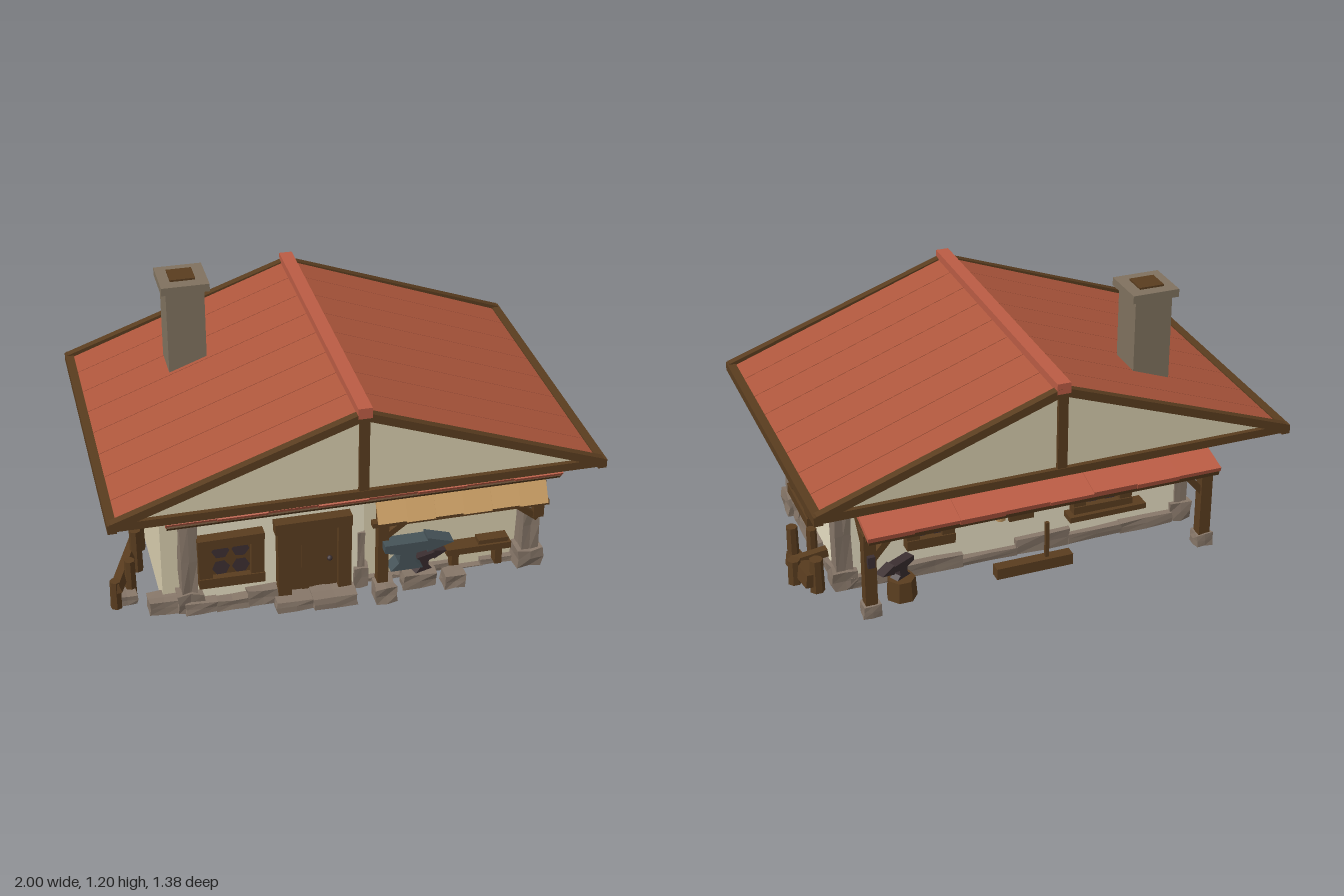
import * as THREE from 'three';

const mat = (name, color) => {
  const m = new THREE.MeshStandardMaterial({ color });
  m.name = name;
  return m;
};

export function createModel() {
  const root = new THREE.Group();
  root.name = 'smithyCottage';
  const M = {
    tile: mat('roofRed', 0xad563c), eave: mat('eaveRed', 0xbb5c44),
    wood: mat('timber', 0x5a3d1f), cream: mat('oldPlaster', 0xd8cdae),
    plaster: mat('freshPlaster', 0xfff6d8), stone: mat('fieldstone', 0x877769),
    chimney: mat('chimneyStone', 0x80725f), straw: mat('straw', 0xc99d63),
    iron: mat('iron', 0x465358), dark: mat('darkIron', 0x3c2f31),
  };

  // ---- helpers
  const add = (name, geo, m, parent = root) => {
    const mesh = new THREE.Mesh(geo, m);
    mesh.name = name;
    parent.add(mesh);
    return mesh;
  };
  // Box given by its extents
  const span = (name, m, x0, x1, y0, y1, z0, z1, parent = root) => {
    const b = add(name, new THREE.BoxGeometry(x1 - x0, y1 - y0, z1 - z0), m, parent);
    b.position.set((x0 + x1) / 2, (y0 + y1) / 2, (z0 + z1) / 2);
    return b;
  };
  // Square bar between two points
  const beam = (name, m, a, b, w, d = w, parent = root) => {
    const p = new THREE.Vector3(...a), q = new THREE.Vector3(...b);
    const mesh = add(name, new THREE.BoxGeometry(w, p.distanceTo(q), d), m, parent);
    mesh.position.copy(p).add(q).multiplyScalar(0.5);
    mesh.quaternion.setFromUnitVectors(new THREE.Vector3(0, 1, 0), q.sub(p).normalize());
    return mesh;
  };
  // Faceted upright log
  const log = (name, x, y0, z, h, r) => {
    const g = new THREE.CylinderGeometry(r * 0.9, r, h, 7).toNonIndexed();
    g.computeVertexNormals();
    add(name, g, M.wood).position.set(x, y0 + h / 2, z);
  };
  // Rough stone: box whose corners are pulled in by a hash
  let seed = 1;
  const stone = (x0, x1, y0, y1, z0, z1) => {
    const s = seed++, w = x1 - x0, h = y1 - y0, d = z1 - z0;
    const g = new THREE.BoxGeometry(w, h, d, 2, 2, 2).toNonIndexed(), p = g.attributes.position;
    const k = Math.min(w, h, d) * 0.13;
    const hash = (a) => { const v = Math.sin(a * 127.1 + s * 31.7) * 4375.5; return v - Math.floor(v); };
    for (let i = 0; i < p.count; i++) {
      const v = [p.getX(i), p.getY(i), p.getZ(i)];
      const id = Math.round(v[0] / w * 2) * 9 + Math.round(v[1] / h * 2) * 3 + Math.round(v[2] / d * 2);
      p.setXYZ(i, ...v.map((c, j) => c - Math.sign(c) * k * hash(id + j * 40)));
    }
    g.computeVertexNormals();
    add('stone', g, M.stone).position.set((x0 + x1) / 2, (y0 + y1) / 2, (z0 + z1) / 2);
  };

  // ---- main roof: eight planks per side, ridge and timber edges
  const slope = 0.37, roofY = (x) => 1.02 - slope * Math.abs(x);
  for (const s of [-1, 1]) {
    for (let i = 0; i < 8; i++) {
      const plank = add('roofPlank', new THREE.BoxGeometry(1.035, 0.02, 0.167), M.tile);
      plank.position.set(s * 0.485, roofY(0.485) - 0.01, -0.595 + i * 0.17);
      plank.rotation.z = -s * Math.atan(slope);
    }
    span('eaveBeam', M.wood, s * 0.98 - 0.018, s * 0.98 + 0.018, 0.632, 0.67, -0.69, 0.69);
  }
  span('ridgeCap', M.eave, -0.028, 0.028, 1.0, 1.045, -0.69, 0.69);

  // ---- big gables at both ends
  for (const s of [-1, 1]) {
    const tri = new THREE.Shape([[-0.96, 0.65], [0.96, 0.65], [0, 1.005]].map((p) => new THREE.Vector2(...p)));
    add('gablePanel', new THREE.ExtrudeGeometry(tri, { depth: 0.01, bevelEnabled: false }), M.cream)
      .position.z = s * 0.665 - 0.005;
    span('gableTie', M.wood, -0.99, 0.99, 0.64, 0.674, s * 0.675 - 0.015, s * 0.675 + 0.015);
    span('gablePost', M.wood, -0.02, 0.02, 0.66, 1.0, s * 0.675 - 0.012, s * 0.675 + 0.012);
    for (const k of [-1, 1])
      beam('gableRafter', M.wood, [k * 0.985, 0.656, s * 0.673], [0, 1.008, s * 0.673], 0.034);
  }

  // ---- chimney
  span('chimneyStack', M.chimney, -0.61, -0.45, 0.72, 1.17, -0.35, -0.19);
  span('chimneyCap', M.chimney, -0.63, -0.43, 1.163, 1.197, -0.37, -0.17);
  span('chimneyFlue', M.wood, -0.585, -0.48, 1.197, 1.205, -0.322, -0.222);

  // ---- house body and plaster coats
  span('houseBody', M.cream, -0.765, 0.78, 0.03, 0.66, -0.24, 0.39);
  span('frontRoom', M.plaster, -0.68, 0.07, 0.04, 0.5, 0.36, 0.43);
  span('sidePlaster', M.plaster, 0.77, 0.788, 0.05, 0.64, -0.23, 0.385);
  span('backPlaster', M.plaster, -0.74, 0.77, 0.05, 0.5, -0.25, -0.23);

  // ---- lower roof skirts: uneven tiles on a timber deck
  const skirt = (name, za, ya, zb, yb, x0, x1, t) => {
    const n = 8, w = (x1 - x0) / n, len = Math.hypot(zb - za, yb - ya), tilt = -Math.atan2(yb - ya, zb - za);
    for (let i = 0; i < n; i++) {
      const m = add(name, new THREE.BoxGeometry(w, t + (i % 3) * 0.004, len + (i % 2) * 0.008), M.eave);
      m.position.set(x0 + w * (i + 0.5), (ya + yb) / 2, (za + zb) / 2);
      m.rotation.x = tilt;
    }
    const deck = add('skirtDeck', new THREE.BoxGeometry(x1 - x0 - 0.01, 0.02, len - 0.01), M.wood);
    deck.position.set((x0 + x1) / 2, (ya + yb) / 2 - 0.02, (za + zb) / 2);
    deck.rotation.x = tilt;
  };
  skirt('frontSkirt', 0.4, 0.645, 0.55, 0.535, -0.76, 0.87, 0.025);
  skirt('backSkirt', -0.32, 0.535, -0.17, 0.645, -0.76, 0.87, 0.025);
  skirt('porchRoof', -0.555, 0.437, -0.26, 0.512, -0.77, 0.755, 0.018);
  span('frontEaveBeam', M.wood, -0.74, 0.86, 0.475, 0.535, 0.42, 0.49);
  span('backEaveBeam', M.wood, -0.74, 0.86, 0.47, 0.525, -0.29, -0.24);
  span('sideBeam', M.wood, 0.78, 0.835, 0.515, 0.565, -0.3, 0.47);
  span('sideLintel', M.wood, 0.78, 0.81, 0.475, 0.505, -0.27, 0.41);
  for (const [z0, z1] of [[0.53, 0.39], [-0.3, -0.17]])
    beam('sideRafter', M.wood, [0.85, 0.52, z0], [0.85, 0.625, z1], 0.042);
  span('loftWindow', M.wood, 0.78, 0.82, 0.575, 0.64, 0.05, 0.175);
  span('loftPane', M.dark, 0.82, 0.825, 0.595, 0.625, 0.08, 0.145);

  // ---- windows: heavy frame with four dark panes
  const makeWindow = (x, y, z, ry, w, h) => {
    const g = new THREE.Group();
    g.name = 'window';
    span('windowBoard', M.wood, -w / 2 + 0.01, w / 2 - 0.01, -h / 2 + 0.01, h / 2 - 0.01, -0.01, 0.015, g);
    for (const s of [-1, 1]) {
      beam('windowJamb', M.wood, [s * (w / 2 - 0.025), -h / 2, 0.015], [s * (w / 2 - 0.02), h / 2, 0.015], 0.055, 0.05, g);
      beam('windowRail', M.wood, [-w / 2 - 0.005, s * (h / 2 - 0.022), 0.018], [w / 2 + 0.005, s * (h / 2 - 0.018), 0.018], 0.044, 0.055, g);
      for (const t of [-1, 1]) {
        const pane = add('windowPane', new THREE.CircleGeometry(0.037, 6), M.dark, g);
        pane.position.set(s * 0.041, t * 0.04, 0.017);
        pane.rotation.z = s + t;
      }
    }
    g.position.set(x, y, z);
    g.rotation.y = ry;
    root.add(g);
  };
  makeWindow(-0.49, 0.275, 0.435, 0, 0.26, 0.23);
  makeWindow(0.795, 0.285, 0.205, Math.PI / 2, 0.3, 0.24);
  makeWindow(-0.36, 0.29, -0.255, Math.PI, 0.26, 0.22);
  makeWindow(0.41, 0.29, -0.255, Math.PI, 0.2, 0.22);

  // ---- front door
  for (let i = 0; i < 4; i++)
    span('doorPlank', M.wood, -0.245 + i * 0.05, -0.195 + i * 0.05, 0.06, 0.385, 0.42, 0.445 + (i % 2) * 0.003);
  for (const x of [-0.272, -0.02]) beam('doorJamb', M.wood, [x, 0.05, 0.45], [x, 0.41, 0.45], 0.055);
  span('doorLintel', M.wood, -0.31, 0.01, 0.37, 0.42, 0.42, 0.48);
  add('doorKnob', new THREE.SphereGeometry(0.012, 8, 6), M.dark).position.set(-0.08, 0.21, 0.458);

  // ---- stonework: corners, footings, step
  const column = (x0, x1, z0, z1, top) => {
    stone(x0 - 0.02, x1 + 0.02, 0.03, 0.13, z0 - 0.015, z1 + 0.015);
    stone(x0, x1, 0.1, top, z0, z1);
  };
  column(-0.7, -0.62, 0.36, 0.455, 0.46);
  column(0.74, 0.825, 0.375, 0.475, 0.38);
  column(0.735, 0.81, -0.265, -0.185, 0.48);
  column(-0.775, -0.71, -0.265, -0.2, 0.48);
  column(0.04, 0.075, 0.38, 0.44, 0.3);
  const row = (n, a, b, put) => {
    for (let i = 0; i < n; i++) put(a + (b - a) * i / n - 0.006, a + (b - a) * (i + 1) / n + 0.006, 0.1 + (i % 3) * 0.01 - (i % 2) * 0.015);
  };
  row(3, -0.68, -0.3, (a, b, t) => stone(a, b, 0.03, t - 0.01, 0.39, 0.48));
  row(3, 0, 0.4, (a, b, t) => stone(0.74, 0.825, 0.03, t + 0.01, a, b));
  stone(0.74, 0.81, 0.03, 0.08, -0.2, 0);
  row(6, -0.7, 0.75, (a, b, t) => stone(a, b, 0.03, t - 0.01, -0.28, -0.22));
  row(5, 0.08, 0.72, (a, b, t) => stone(a, b, 0.03, t - 0.05, 0.37, 0.42));
  stone(-0.32, -0.15, 0.015, 0.07, 0.42, 0.53);
  stone(-0.17, 0.02, 0.02, 0.075, 0.42, 0.55);
  stone(0.09, 0.19, 0, 0.085, 0.46, 0.555);
  stone(0.22, 0.37, 0.02, 0.1, 0.43, 0.51);
  stone(0.39, 0.49, 0.02, 0.09, 0.46, 0.54);
  stone(-0.83, -0.7, 0.03, 0.1, 0.36, 0.45);

  // ---- front awning with posts and braces
  for (let i = 0; i < 6; i++) {
    const x = 0.16 + i * 0.12;
    beam('awningStraw', M.straw, [x, 0.502, 0.485], [x, 0.402 - (i % 2) * 0.006, 0.545], 0.12, 0.014);
  }
  span('awningBeam', M.wood, 0.08, 0.83, 0.38, 0.402, 0.5, 0.535);
  for (const [x, s, y] of [[0.135, 1, 0.08], [0.8, -1, 0.3]]) {
    beam('awningPost', M.wood, [x, y, 0.48], [x, 0.48, 0.48], 0.045);
    beam('awningBrace', M.wood, [x, 0.29, 0.48], [x + s * 0.12, 0.39, 0.49], 0.026);
  }

  // ---- anvils: side profile pushed out to thickness
  const anvil = (name, m, x, y, z, k, ry) => {
    const pts = [[-0.08, 0], [0.08, 0], [0.04, 0.04], [0.045, 0.09], [0.1, 0.1], [0.1, 0.085], [0.23, 0.125],
      [0.1, 0.165], [0.1, 0.15], [-0.11, 0.15], [-0.11, 0.11], [-0.035, 0.09], [-0.04, 0.04]];
    const g = new THREE.ExtrudeGeometry(new THREE.Shape(pts.map((p) => new THREE.Vector2(...p))), { depth: 0.08, bevelEnabled: false });
    g.translate(0, 0, -0.04);
    const mesh = add(name, g, m);
    mesh.position.set(x, y, z);
    mesh.rotation.y = ry;
    mesh.scale.setScalar(k);
  };
  anvil('hangingAnvil', M.iron, 0.225, 0.16, 0.51, 0.86, 0);
  anvil('smallAnvil', M.dark, 0.31, 0.1, 0.47, 0.5, 0.3);
  anvil('yardAnvil', M.dark, 0.57, 0.115, -0.37, 0.54, 0.5);
  log('anvilStump', 0.57, 0.03, -0.38, 0.09, 0.065);

  // ---- bench under the awning, hook on the wall behind
  span('benchSeat', M.wood, 0.42, 0.7, 0.14, 0.17, 0.4, 0.47);
  span('benchBoard', M.wood, 0.56, 0.69, 0.17, 0.19, 0.41, 0.46);
  for (const x of [0.46, 0.65]) beam('benchLeg', M.wood, [x, 0.06, 0.435], [x, 0.145, 0.435], 0.03, 0.05);
  span('wallHook', M.dark, 0.615, 0.66, 0.325, 0.345, 0.39, 0.42);

  // ---- back porch posts, braces and yard tools
  for (const s of [-1, 1]) {
    const x = s * 0.735;
    stone(x - 0.04, x + 0.04, 0.045, 0.11, -0.525, -0.45);
    beam('porchPost', M.wood, [x, 0.09, -0.485], [x, 0.43, -0.485], 0.05);
    beam('porchTie', M.wood, [x, 0.485, -0.24], [x, 0.42, -0.52], 0.035);
    beam('porchBrace', M.wood, [x, 0.3, -0.485], [x, 0.44, -0.36], 0.028);
    beam('porchBrace', M.wood, [x, 0.29, -0.485], [x - s * 0.11, 0.42, -0.485], 0.028);
  }
  span('porchBeam', M.wood, -0.765, 0.75, 0.405, 0.435, -0.505, -0.465);
  span('postHook', M.dark, 0.72, 0.75, 0.29, 0.34, -0.53, -0.505);
  beam('yardLog', M.wood, [-0.17, 0.06, -0.4], [0.17, 0.06, -0.4], 0.05);
  beam('yardPole', M.wood, [-0.06, 0.06, -0.4], [-0.06, 0.25, -0.4], 0.016);
  span('wallRack', M.wood, -0.03, 0.03, 0.2, 0.36, -0.265, -0.24);
  for (const y of [0.2, 0.33]) span('rackCap', M.wood, -0.055, 0.055, y, y + 0.035, -0.27, -0.24);
  span('wallShelf', M.wood, -0.55, -0.2, 0.165, 0.19, -0.32, -0.24);
  for (const x of [0.2, 0.05, -0.15]) span('hangingTool', M.dark, x, x + 0.025, 0.36, 0.42, -0.3, -0.27);
  add('clayPot', new THREE.CylinderGeometry(0.03, 0.022, 0.04, 8), M.straw).position.set(0.1, 0.25, -0.28);

  // ---- log fences at both sides
  for (const [x, z, h, r] of [[0.93, -0.045, 0.215, 0.027], [0.95, -0.13, 0.11, 0.03], [0.88, -0.22, 0.15, 0.032], [0.85, -0.05, 0.19, 0.025],
    [-0.95, 0.34, 0.13, 0.025], [-0.88, 0.28, 0.18, 0.025], [-0.83, 0.1, 0.2, 0.028], [-0.8, -0.05, 0.13, 0.03]])
    log('fencePost', x, 0.03, z, h, r);
  beam('fenceRail', M.wood, [0.93, 0.09, -0.03], [0.9, 0.09, -0.24], 0.06);
  beam('fenceRail', M.wood, [0.8, 0.13, -0.1], [0.95, 0.11, -0.1], 0.035);
  beam('fenceRail', M.wood, [-0.8, 0.1, -0.06], [-0.95, 0.13, 0.36], 0.04);
  stone(-0.95, -0.86, 0.03, 0.08, 0.26, 0.35);
  return root;
}
